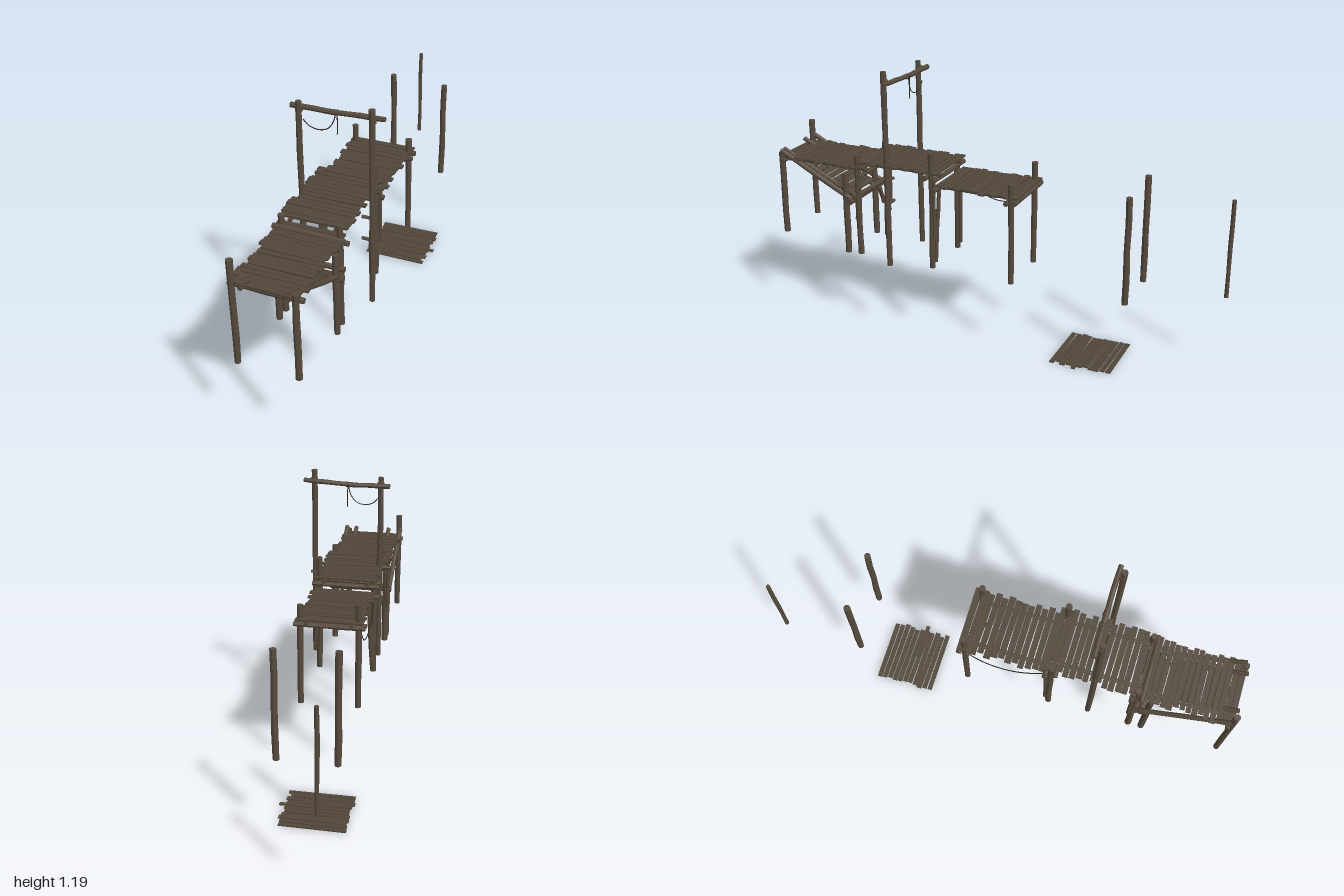
import * as THREE from 'three';

const wood = new THREE.MeshStandardMaterial({ color: 0x564a3d, flatShading: true });
wood.name = 'post wood';
const board = new THREE.MeshStandardMaterial({ color: 0x51463a, flatShading: true });
board.name = 'plank wood';
const ropeMat = new THREE.MeshStandardMaterial({ color: 0x2c2721 });
ropeMat.name = 'rope';

const V = (x, y, z) => new THREE.Vector3(x, y, z);
const LEFT = 0.09, RIGHT = -0.155, MID = -0.0325;

export function createModel() {
  const model = new THREE.Group();
  let seed = 11;
  const rnd = () => (seed = (seed * 16807) % 2147483647) / 2147483647;
  const jit = (a) => (rnd() - 0.5) * 2 * a;

  const add = (geo, mat, name, parent = model) => {
    const m = new THREE.Mesh(geo, mat);
    m.name = name;
    parent.add(m);
    return m;
  };

  // Rough log between two points, slightly uneven along its length
  function log(name, a, b, r, parent = model) {
    const len = a.distanceTo(b);
    const geo = new THREE.CylinderGeometry(r, r, len, 8, 4);
    const p = geo.attributes.position;
    const wobble = [0, 1, 2, 3, 4].map(() => [jit(r * 0.12), jit(r * 0.12), 1 + jit(0.08)]);
    for (let i = 0; i < p.count; i++) {
      const w = wobble[Math.round((p.getY(i) / len + 0.5) * 4)];
      p.setXYZ(i, p.getX(i) * w[2] + w[0], p.getY(i), p.getZ(i) * w[2] + w[1]);
    }
    geo.computeVertexNormals();
    const m = add(geo, wood, name, parent);
    m.position.copy(a).lerp(b, 0.5);
    m.quaternion.setFromUnitVectors(V(0, 1, 0), b.clone().sub(a).normalize());
    return m;
  }
  const post = (name, x, z, y0, y1, r = 0.0135) => log(name, V(x, y0, z), V(x, y1, z), r);
  const crossbeam = (name, y, z, x0 = -0.18, x1 = 0.115, r = 0.011) =>
    log(name, V(x0, y, z), V(x1, y, z), r);

  // Row of uneven planks laid across x, running from z0 to z1
  function planks(name, z0, z1, y0, y1, count, x0, x1, thick = 0.008, ragged = 0.012) {
    const g = new THREE.Group();
    g.name = name;
    const step = (z1 - z0) / count;
    const tilt = Math.atan2(y0 - y1, z1 - z0);
    for (let i = 0; i < count; i++) {
      const a = x0 + jit(ragged), b = x1 + jit(ragged);
      const t = (i + 0.5) / count;
      const m = add(new THREE.BoxGeometry(b - a, thick, Math.abs(step) * (0.88 + jit(0.07))), board, 'plank', g);
      m.position.set((a + b) / 2, y0 + (y1 - y0) * t + jit(0.0015), z0 + step * (i + 0.5));
      m.rotation.set(tilt, jit(0.015), jit(0.008));
    }
    model.add(g);
  }

  function rope(name, points, r = 0.0022) {
    add(new THREE.TubeGeometry(new THREE.CatmullRomCurve3(points), 28, r, 5), ropeMat, name);
  }

  // Walkway posts: [z, bottom, top on the right side, top on the left side]
  for (const [z, y0, tr, tl] of [
    [0.98, 0.37, 0.83, 0.75], [0.65, 0.33, 0.70, 0.70], [0.59, 0.33, 0.78, 0.79],
    [0.23, 0.33, 0.77, 0.85], [-0.14, 0.33, 0.79, 0.77], [-0.635, 0.33, 0.80, 0.79],
  ]) {
    post('rightPost', z < -0.5 ? -0.162 : RIGHT + jit(0.004), z, y0, tr);
    post('leftPost', z < -0.5 ? 0.081 : LEFT + jit(0.004), z, y0, tl);
  }
  post('lonePost', -0.155, -0.99, 0.33, 0.755, 0.009);
  post('sparePost', 0.1, 0.212, 0.48, 0.74, 0.008);
  post('sparePost', RIGHT - 0.01, 0.575, 0.5, 0.76, 0.008);

  // Three deck sections, each with side and middle stringers
  for (const [name, z0, z1, y, n] of [
    ['frontDeck', 0.985, 0.56, 0.732, 17],
    ['middleDeck', 0.575, 0.195, 0.763, 14],
    ['rearDeck', 0.205, -0.17, 0.712, 13],
  ]) {
    planks(name, z0, z1, y, y, n, -0.168, 0.104);
    for (const x of [-0.125, 0.062])
      log('stringer', V(x, y - 0.013, z0), V(x, y - 0.013, z1), 0.009);
  }

  // Paired cross beams strapped to the posts
  for (const [y, z] of [
    [0.717, 0.965], [0.70, 0.572], [0.735, 0.61], [0.74, 0.25],
    [0.69, 0.21], [0.735, 0.21], [0.695, -0.158], [0.69, -0.122],
  ]) crossbeam('crossBeam', y + jit(0.003), z);

  // Sloping boarded frame below the front deck
  for (const x of [-0.105, 0.055])
    log('slopingRail', V(x, 0.755, 0.99), V(x, 0.575, 0.61), 0.01);
  log('slopingRail', V(0.098, 0.76, 0.975), V(0.098, 0.585, 0.62), 0.011);
  log('slopingRail', V(-0.165, 0.76, 0.975), V(-0.165, 0.585, 0.62), 0.011);
  planks('slopingBoards', 0.93, 0.63, 0.715, 0.6, 10, -0.12, 0.075, 0.006, 0.006);
  crossbeam('lowerCrossBeam', 0.575, 0.625, -0.175, 0.115, 0.014);
  crossbeam('lowerCrossBeam', 0.60, 0.60, -0.165, 0.11);

  // Corner braces
  for (const s of [-1, 1]) {
    log('cornerBrace', V(MID + s * 0.115, 0.49, 0.605), V(MID + s * 0.085, 0.57, 0.605), 0.009);
    log('cornerBrace', V(MID + s * 0.12, 0.36, 0.215), V(MID + s * 0.1, 0.69, 0.205), 0.009);
  }

  // Tall gate
  post('gatePostRight', -0.15, 0.41, 0.33, 1.17, 0.0125);
  post('gatePostLeft', 0.145, 0.41, 0.33, 1.19, 0.0125);
  log('gateBeam', V(-0.192, 1.137, 0.388), V(0, 1.137, 0.386), 0.0115);
  log('gateBeam', V(-0.005, 1.137, 0.386), V(0.188, 1.148, 0.388), 0.0105);
  for (const [x, y] of [[-0.15, 1.138], [0.145, 1.145]]) {
    const lash = add(new THREE.CylinderGeometry(0.0155, 0.0155, 0.022, 8), wood, 'gateLashing');
    lash.position.set(x, y, 0.405);
  }
  for (const y of [0.62, 0.72])
    log('gatePeg', V(0.1, y - 0.002, 0.405), V(0.162, y, 0.405), 0.007);
  for (const y of [0.595, 0.62]) {
    const ring = add(new THREE.CylinderGeometry(0.016, 0.016, 0.012, 8), wood, 'gatePostBand');
    ring.position.set(0.145, y, 0.41);
  }

  // Ropes
  rope('gateRope', [V(-0.143, 1.085, 0.388), V(-0.12, 1.061, 0.386), V(-0.083, 1.051, 0.385),
    V(-0.045, 1.062, 0.385), V(-0.022, 1.092, 0.383), V(-0.01, 1.137, 0.38)]);
  rope('gateRopeEnd', [V(-0.01, 1.14, 0.374), V(-0.008, 1.09, 0.375), V(-0.009, 1.04, 0.376)]);
  rope('sideRope', [V(-0.16, 0.69, 0.21), V(-0.16, 0.64, 0.155), V(-0.16, 0.598, 0.085),
    V(-0.16, 0.585, 0.02), V(-0.16, 0.598, -0.05), V(-0.16, 0.635, -0.105), V(-0.16, 0.69, -0.145)]);

  // Fallen platform on the ground
  planks('fallenPlatform', -0.32, -0.59, 0.006, 0.006, 11, -0.177, 0.095, 0.005, 0.009);
  const loose = add(new THREE.BoxGeometry(0.16, 0.005, 0.018), board, 'loosePlank');
  loose.position.set(0.04, 0.0085, -0.435);
  return model;
}
